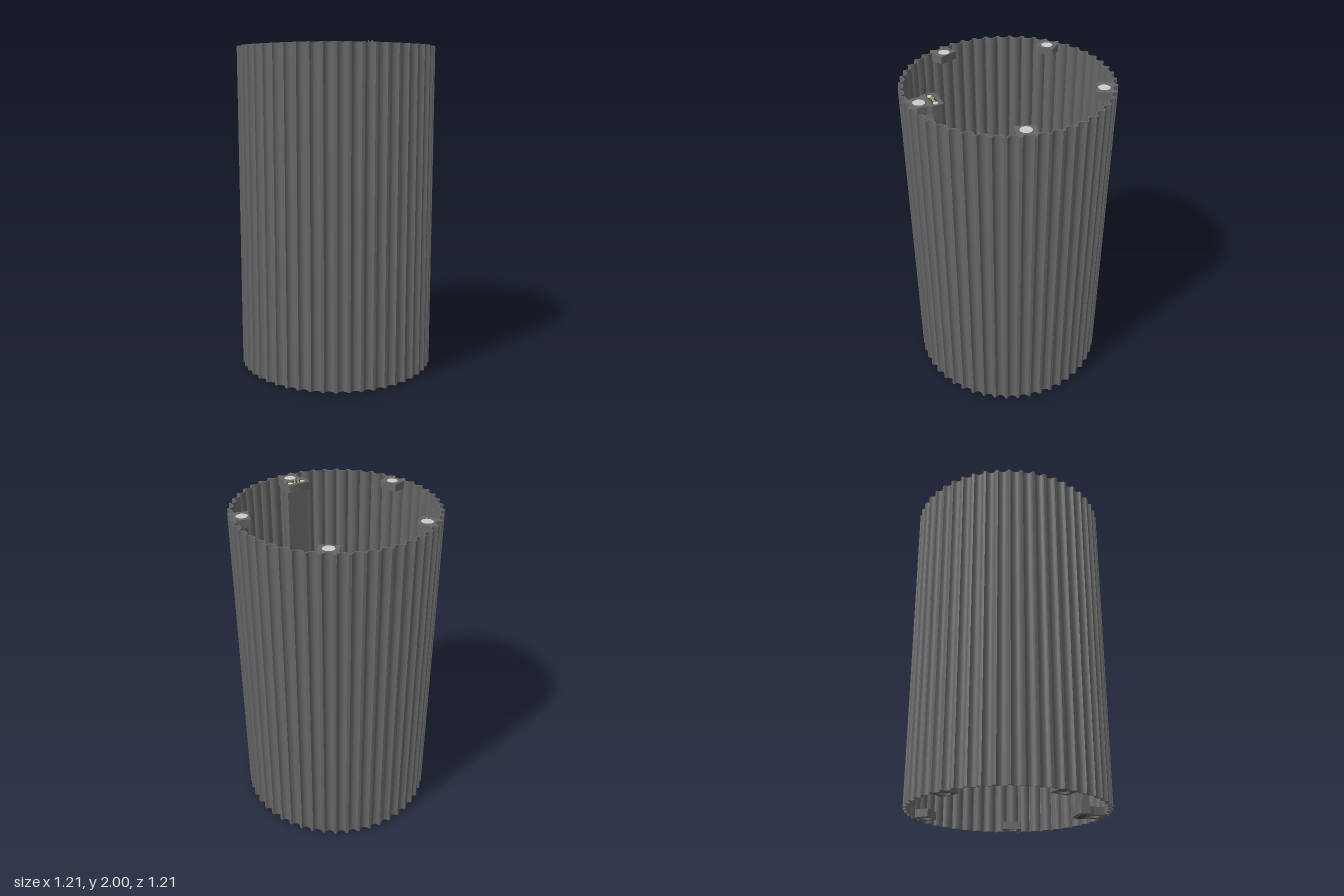
import * as THREE from 'three';
import { toCreasedNormals } from 'three/addons/utils/BufferGeometryUtils.js';

const FLUTES = 50, STEP = (Math.PI * 2) / FLUTES;
const FLUTE_CENTRE = 0.611, FLUTE_R = 0.031, WALL = 0.0065;
const Y0 = 0.003, Y1 = 1.986, BLOCK_H = 0.048;
const MAGNET_V = 0.53, CONNECTOR_V = 0.451;

const mat = (color) => new THREE.MeshStandardMaterial({ color });
const bodyMat = mat(0x666666);
const magnetMat = mat(0xc4c4c4);
const darkMat = mat(0x444444);
const pinMat = mat(0xc8b878);

// Points along one flute: an arc of radius r cut off at tipR from the axis
function flute(k, r, tipR, n = 10) {
  const c = FLUTE_CENTRE;
  const tMax = Math.acos((c * c + r * r - tipR * tipR) / (2 * c * r));
  const sin = Math.sin(k * STEP), cos = Math.cos(k * STEP);
  return Array.from({ length: n + 1 }, (_, i) => {
    const t = tMax * ((2 * i) / n - 1);
    const u = r * Math.sin(t), v = c - r * Math.cos(t);
    return new THREE.Vector2(u * cos + v * sin, v * cos - u * sin);
  });
}

const fluteRing = (r, tipR) =>
  Array.from({ length: FLUTES }, (_, k) => flute(k, r, tipR)).flat();

// Stretch of the fluted wall between -w and w, left to right
const flutedEdge = (w) =>
  [-1, 0, 1].flatMap((k) => flute(k, FLUTE_R + 0.002, 0.603)).filter((p) => Math.abs(p.x) <= w);

// Upright prism: the outline lies in x and z, from yBottom to yTop
function prism(name, shape, yBottom, yTop, material) {
  let geo = new THREE.ExtrudeGeometry(shape, { depth: yTop - yBottom, bevelEnabled: false, curveSegments: 20 });
  geo.rotateX(Math.PI / 2).translate(0, yTop, 0);
  geo = toCreasedNormals(geo, 0.5);
  const mesh = new THREE.Mesh(geo, material);
  mesh.name = name;
  return mesh;
}

function disc(name, r, x, z, yBottom, yTop, material) {
  const mesh = new THREE.Mesh(new THREE.CylinderGeometry(r, r, yTop - yBottom, 32), material);
  mesh.position.set(x, (yBottom + yTop) / 2, z);
  mesh.name = name;
  return mesh;
}

// Holes run opposite to the clockwise outlines
const magnetHole = () => new THREE.Path().absarc(0, MAGNET_V, 0.034, 0, Math.PI * 2, false);

function pill(Type, halfLength, r) {
  const s = new Type(), d = halfLength - r;
  s.absarc(d, CONNECTOR_V, r, -Math.PI / 2, Math.PI / 2, false);
  s.absarc(-d, CONNECTOR_V, r, Math.PI / 2, Math.PI * 1.5, false);
  s.closePath();
  return s;
}

// Square block that fits the flutes, with a round magnet pocket
function blockShape() {
  const w = 0.057;
  const s = new THREE.Shape([...flutedEdge(w), new THREE.Vector2(w, 0.489), new THREE.Vector2(-w, 0.489)]);
  s.holes.push(magnetHole());
  return s;
}

// Front block with a wider rounded head that carries the connector
function headShape() {
  const s = new THREE.Shape();
  flutedEdge(0.057).forEach((p, i) => (i ? s.lineTo(p.x, p.y) : s.moveTo(p.x, p.y)));
  s.lineTo(0.057, 0.514);
  s.quadraticCurveTo(0.057, 0.505, 0.064, 0.498);
  s.quadraticCurveTo(0.072, 0.49, 0.072, 0.48);
  s.lineTo(0.072, 0.432);
  s.quadraticCurveTo(0.072, 0.413, 0.053, 0.413);
  s.lineTo(-0.053, 0.413);
  s.quadraticCurveTo(-0.072, 0.413, -0.072, 0.432);
  s.lineTo(-0.072, 0.48);
  s.quadraticCurveTo(-0.072, 0.49, -0.064, 0.498);
  s.quadraticCurveTo(-0.057, 0.505, -0.057, 0.514);
  s.closePath();
  s.holes.push(magnetHole(), pill(THREE.Path, 0.062, 0.019));
  return s;
}

// Holders at the top and bottom rims for one station
function station(shape) {
  const g = new THREE.Group();
  g.add(
    prism('upperHolder', shape, Y1 - BLOCK_H, Y1 - 0.001, bodyMat),
    disc('upperMagnet', 0.034, 0, MAGNET_V, Y1 - BLOCK_H + 0.001, Y1 - 0.002, magnetMat),
    prism('lowerHolder', shape, Y0 + 0.001, Y0 + BLOCK_H, bodyMat),
    disc('lowerPocket', 0.034, 0, MAGNET_V, Y0 + 0.012, Y0 + BLOCK_H - 0.001, bodyMat),
  );
  return g;
}

export function createModel() {
  const model = new THREE.Group();
  model.name = 'flutedTube';

  // Thin fluted wall
  const wall = new THREE.Shape(fluteRing(FLUTE_R, 0.605));
  wall.holes.push(new THREE.Path(fluteRing(FLUTE_R + WALL, 0.599).reverse()));
  model.add(prism('flutedWall', wall, Y0, Y1, bodyMat));

  // Four plain magnet stations
  for (let i = 1; i < 5; i++) {
    const g = station(blockShape());
    g.name = 'magnetStation' + i;
    g.rotation.y = (i * Math.PI * 2) / 5;
    model.add(g);
  }

  // Front station with the connector and a full-height cable channel
  const front = station(headShape());
  front.name = 'connectorStation';
  const channel = new THREE.Mesh(new THREE.BoxGeometry(0.136, Y1 - Y0 - 2 * BLOCK_H + 0.004, 0.042), bodyMat);
  channel.name = 'cableChannel';
  channel.position.set(0, (Y0 + Y1) / 2, 0.457);
  front.add(channel);

  const insert = pill(THREE.Shape, 0.0615, 0.0185);
  front.add(
    prism('upperConnector', insert, Y1 - BLOCK_H + 0.001, Y1 - 0.006, darkMat),
    prism('lowerConnector', insert, 0, Y0 + BLOCK_H - 0.001, darkMat),
  );
  for (const side of [-1, 1]) {
    front.add(
      disc('connectorMagnet', 0.014, side * 0.041, CONNECTOR_V, Y1 - 0.02, Y1 - 0.002, magnetMat),
      disc('contactCollar', 0.007, side * 0.012, CONNECTOR_V, Y1 - 0.02, Y1 - 0.003, pinMat),
      disc('contactPin', 0.004, side * 0.012, CONNECTOR_V, Y1 - 0.02, 2, pinMat),
    );
  }
  model.add(front);

  model.rotation.y = 0.01;
  return model;
}
